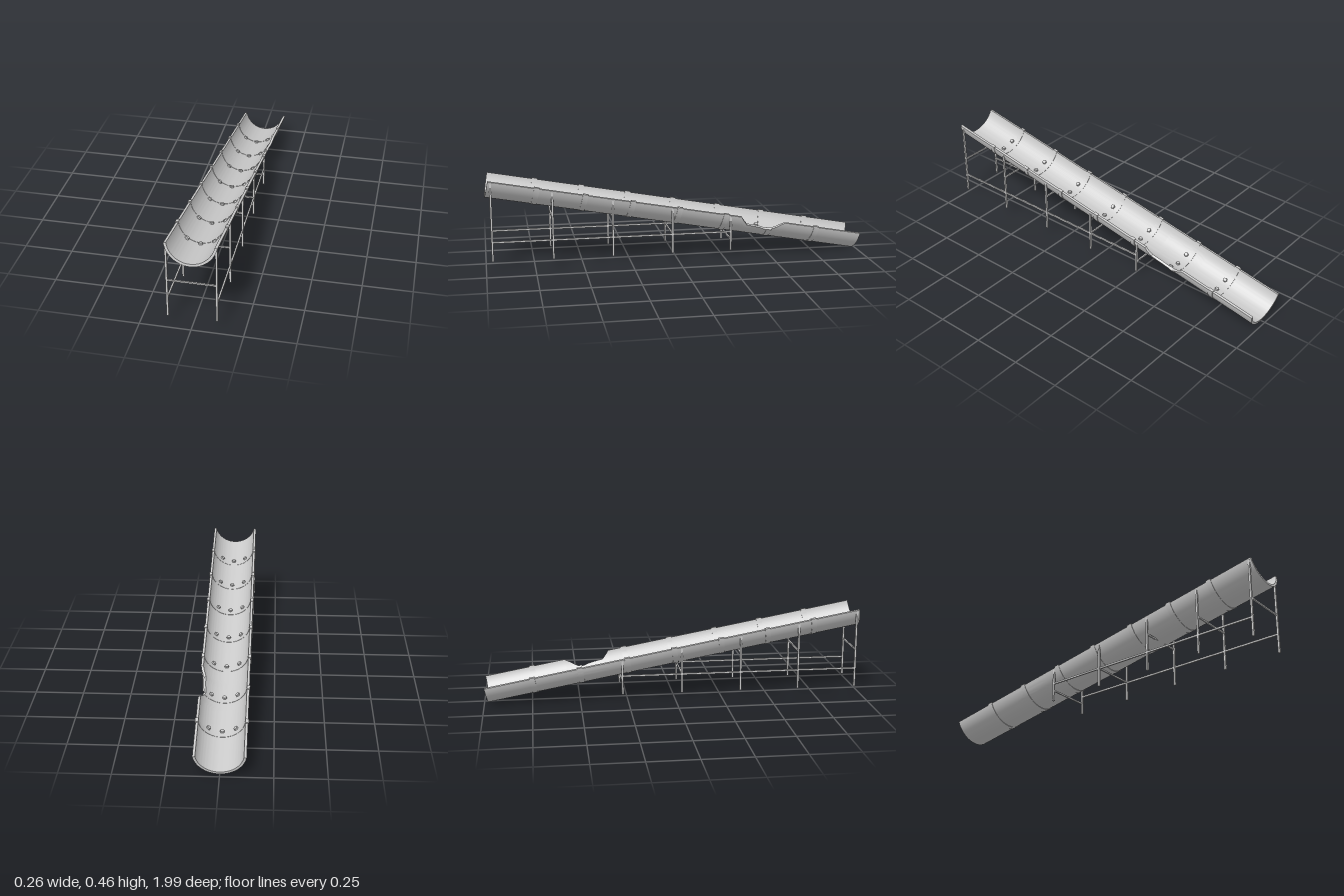
import * as THREE from 'three';
import { toCreasedNormals } from 'three/addons/utils/BufferGeometryUtils.js';

const RAD = Math.PI / 180;
const TILT = 10.35 * RAD;
const R_OUT = 0.127, R_IN = 0.1142, LENGTH = 2.006, RIM = 10.5;

// Broken bite in the left rim: [position along the trough, degrees below horizontal]
const NOTCH = [
  [-0.575, RIM], [-0.55, 19], [-0.535, 25], [-0.51, 34], [-0.48, 37],
  [-0.445, 33], [-0.41, 31.5], [-0.374, 30.5], [-0.35, 19], [-0.335, RIM],
];

function rimAngle(z) {
  for (let i = 0; i < NOTCH.length - 1; i++) {
    const [z0, a0] = NOTCH[i], [z1, a1] = NOTCH[i + 1];
    if (z >= z0 && z <= z1) return a0 + (a1 - a0) * (z - z0) / (z1 - z0);
  }
  return RIM;
}

// Thick gutter lofted through the slices zs; leftEnd(z) is where its left edge stops
function gutter(rIn, rOut, zs, rightEnd, leftEnd, seg = 40) {
  const pos = [], index = [], n = 2 * (seg + 1);
  for (const z of zs) {
    const a0 = (180 + rightEnd) * RAD, a1 = (360 - leftEnd(z)) * RAD;
    for (let k = 0; k < n; k++) {
      const outer = k <= seg;
      const t = (outer ? k : n - 1 - k) / seg;
      const a = a0 + (a1 - a0) * t, r = outer ? rOut : rIn;
      pos.push(r * Math.cos(a), r * Math.sin(a), z);
    }
  }
  for (let s = 0; s < zs.length - 1; s++) {
    for (let k = 0; k < n; k++) {
      const a = s * n + k, b = s * n + (k + 1) % n;
      index.push(a, b, b + n, a, b + n, a + n);
    }
  }
  // End faces
  const last = (zs.length - 1) * n;
  for (let k = 0; k < seg; k++) {
    const a = k, b = k + 1, c = n - 2 - k, d = n - 1 - k;
    index.push(a, c, b, a, d, c);
    index.push(last + a, last + b, last + c, last + a, last + c, last + d);
  }
  const geo = new THREE.BufferGeometry();
  geo.setAttribute('position', new THREE.Float32BufferAttribute(pos, 3));
  geo.setIndex(index);
  return toCreasedNormals(geo, 35 * RAD);
}

export function createModel() {
  const model = new THREE.Group();
  model.name = 'trestleTrough';
  const mat = new THREE.MeshStandardMaterial({ color: 0xcccccc });

  const add = (parent, name, geo, x = 0, y = 0, z = 0) => {
    const mesh = new THREE.Mesh(geo, mat);
    mesh.name = name;
    mesh.position.set(x, y, z);
    parent.add(mesh);
    return mesh;
  };

  // Sloping half-pipe
  const chute = new THREE.Group();
  chute.name = 'chute';
  chute.rotation.x = -TILT;
  chute.position.set(0, R_OUT * Math.cos(TILT) + LENGTH / 2 * Math.sin(TILT), -0.013);
  model.add(chute);

  const slices = [-LENGTH / 2, ...NOTCH.map(p => p[0]), LENGTH / 2];
  add(chute, 'trough', gutter(R_IN, R_OUT, slices, RIM, rimAngle));

  // Joint bands with a row of bolts on the uphill side
  const boltGeo = toCreasedNormals(new THREE.CylinderGeometry(0.01, 0.012, 0.012, 8), 35 * RAD);
  for (let i = -3; i <= 3; i++) {
    const z = i * LENGTH / 8;
    const left = rimAngle(z) > RIM ? 35 : 8;
    add(chute, 'jointBand', gutter(0.1128, 0.1295, [z - 0.014, z + 0.014], 8, () => left));
    for (const deg of [-36, 0, 36]) {
      const a = deg * RAD, r = R_IN - 0.003;
      const bolt = add(chute, 'bolt', boltGeo, r * Math.sin(a), -r * Math.cos(a), z + 0.026);
      bolt.rotation.z = a;
    }
  }

  // Trestle: leg pairs with a crossbar each, [z, crossbar height]
  const pairs = [[0.965, 0.248], [0.655, 0.248], [0.345, 0.248], [0.032, 0.147], [-0.28, 0.105]];
  const legX = 0.118, foot = 0.045;
  for (const [z, barY] of pairs) {
    const top = 0.107 + (z + 1) * Math.tan(TILT) - 0.014;
    for (const side of [-1, 1]) {
      add(model, 'leg', new THREE.BoxGeometry(0.01, top - foot, 0.01), side * legX, (top + foot) / 2, z);
    }
    add(model, 'crossbar', new THREE.BoxGeometry(2 * legX, 0.008, 0.008), 0, barY, z);
  }

  // Long side rails
  const front = pairs[0][0], back = pairs[4][0];
  for (const side of [-1, 1]) {
    add(model, 'sideRail', new THREE.BoxGeometry(0.008, 0.009, front - back), side * legX, 0.145, (front + back) / 2);
  }
  return model;
}
